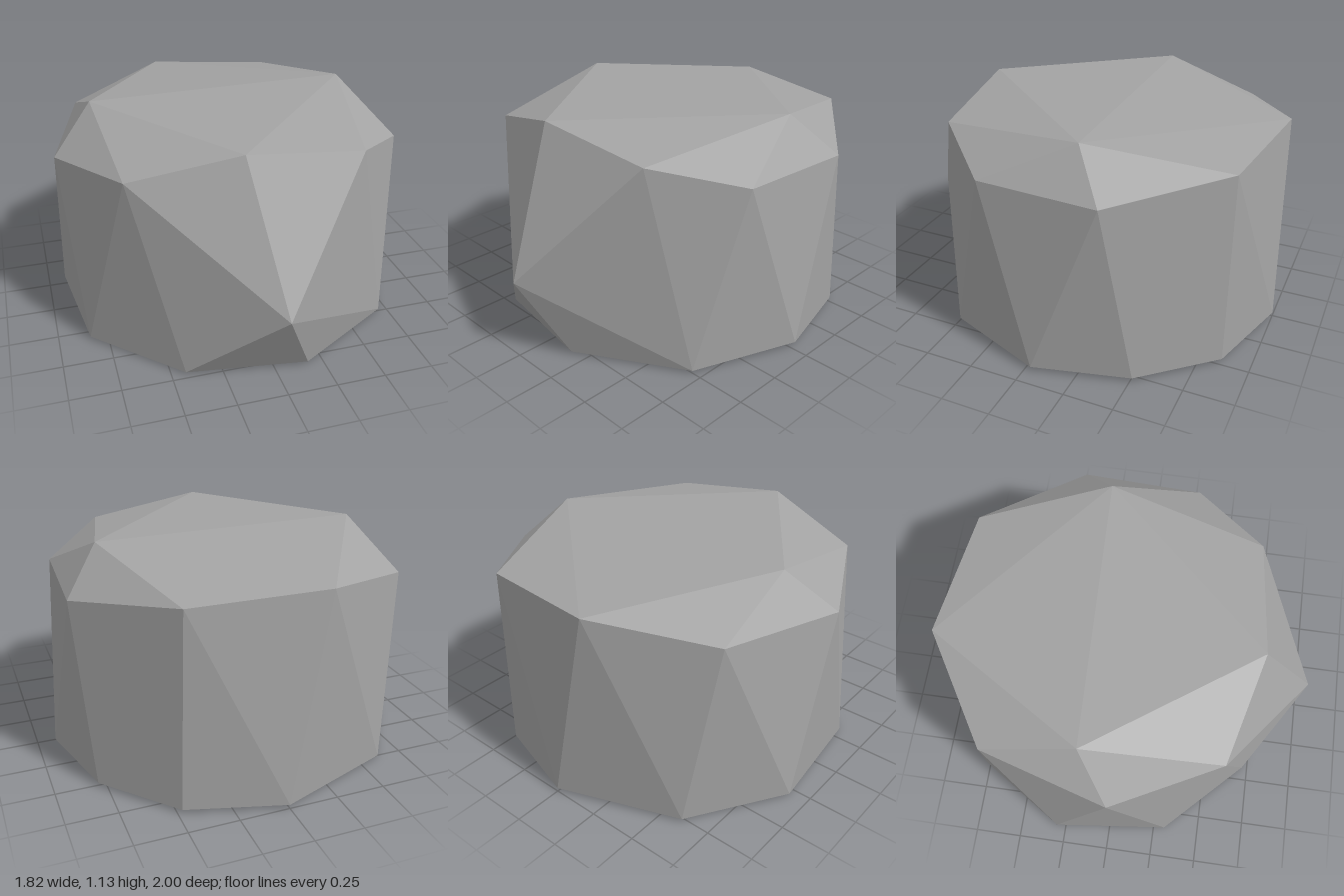
import * as THREE from 'three';
import { ConvexGeometry } from 'three/addons/geometries/ConvexGeometry.js';

export function createModel() {
  const group = new THREE.Group();
  group.name = 'boulder';

  const stone = new THREE.MeshStandardMaterial({ color: 0xa3a3a3 });
  stone.name = 'stoneGrey';

  // Rim around the top
  const rim = [
    [-0.20, 1.045, -0.95], [0.46, 1.01, -0.86], [0.85, 0.92, -0.36],
    [0.82, 0.925, 0.26], [0.49, 1.03, 0.61], [-0.12, 1.11, 0.67],
    [-0.65, 0.98, 0.54], [-0.91, 0.91, 0.01], [-0.73, 0.95, -0.63],
  ];
  // Two raised points of the crown
  const crown = [[-0.70, 1.125, -0.15], [0.67, 1.13, -0.19]];
  // Ten-sided foot, almost flat
  const foot = [
    [0.00, 0.02, -1.00], [0.48, 0.02, -0.86], [0.79, 0.02, -0.51],
    [0.91, 0.02, -0.03], [0.70, 0.012, 0.50], [0.17, 0.012, 0.81],
    [-0.43, 0.01, 0.72], [-0.84, 0.012, 0.31], [-0.91, 0.015, -0.30],
    [-0.61, 0.015, -0.77], [-0.25, 0, -0.05],
  ];
  // Jutting front point
  const nose = [[0, 0.41, 1.0]];

  // The faceted stone is the convex skin over these points
  const points = [...rim, ...crown, ...foot, ...nose].map((p) => new THREE.Vector3(...p));
  const rock = new THREE.Mesh(new ConvexGeometry(points), stone);
  rock.name = 'rock';
  group.add(rock);
  return group;
}
